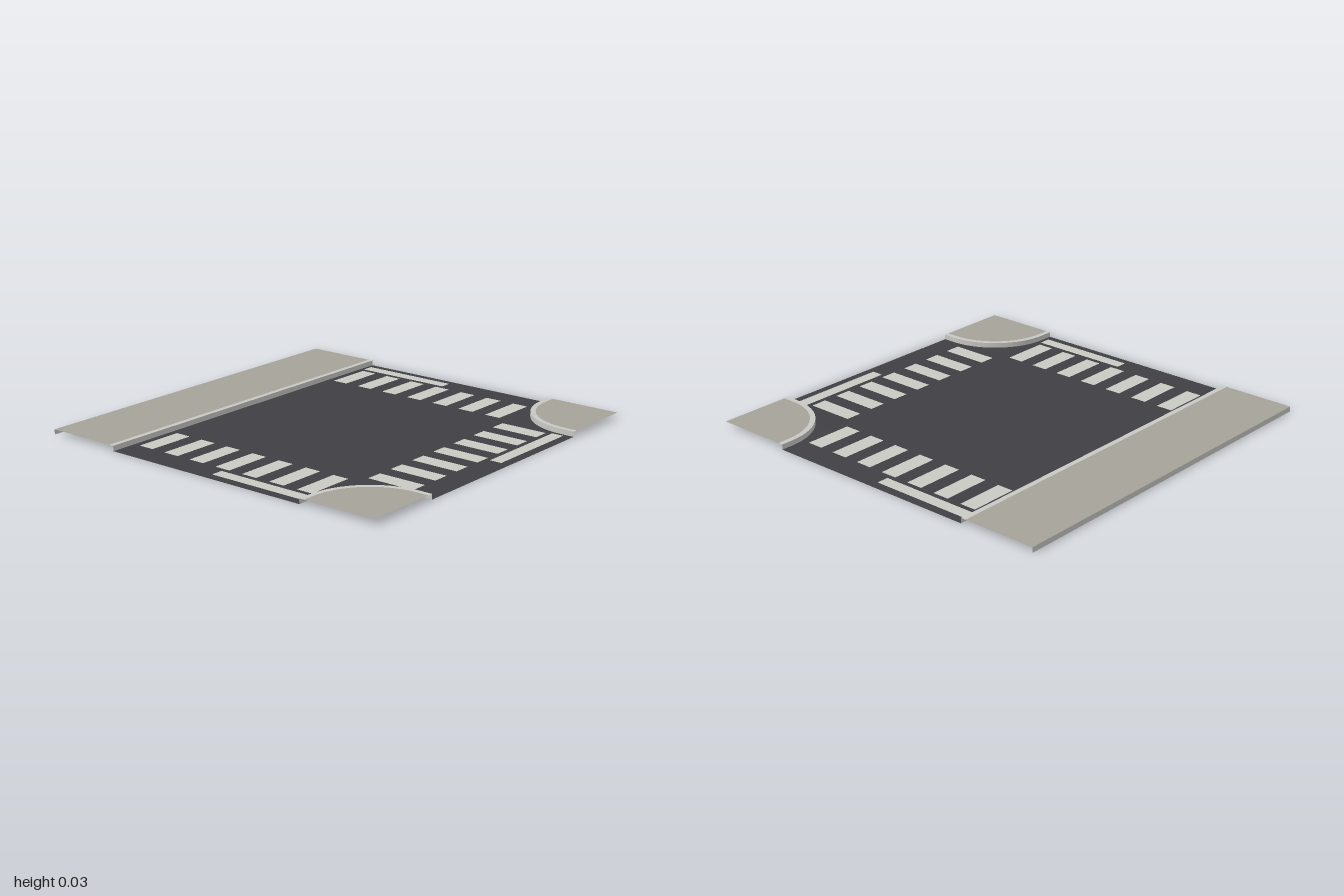
import * as THREE from 'three';

const EDGE = 0.585;    // distance from centre to the kerb face
const KERB_W = 0.027;  // width of the kerb's top
const HEIGHT = 0.027;  // pavement height above the road
const CORNER = 0.935;  // centre of the rounded kerb corners

const mat = (name, color) => {
  const m = new THREE.MeshStandardMaterial({ color, side: THREE.DoubleSide });
  m.name = name;
  return m;
};

export function createModel() {
  const asphalt = mat('asphalt', 0x403f44);
  const paving = mat('paving', 0xa5a299);
  const kerbStone = mat('kerb stone', 0xc8c8c4);
  const paint = mat('road paint', 0xcacac3);

  const model = new THREE.Group();
  model.name = 'tJunction';

  const add = (name, geometry, material, parent = model) => {
    const mesh = new THREE.Mesh(geometry, material);
    mesh.name = name;
    parent.add(mesh);
  };

  // Flat upward-facing area from [x, z] outline points
  const flat = (points, y) => {
    const shape = new THREE.Shape(points.map(([x, z]) => new THREE.Vector2(x, -z)));
    return new THREE.ShapeGeometry(shape).rotateX(-Math.PI / 2).translate(0, y, 0);
  };

  // Upright wall following [x, z] points
  const wall = (points) => {
    const geo = new THREE.PlaneGeometry(1, 1, points.length - 1, 1);
    const pos = geo.attributes.position;
    for (let i = 0; i < pos.count; i++) {
      const [x, z] = points[i % points.length];
      pos.setXYZ(i, x, i < points.length ? HEIGHT : 0, z);
    }
    geo.computeVertexNormals();
    return geo;
  };

  // Rounded kerb line at a front corner, side = -1 or 1
  const cornerLine = (side, inset) => {
    const r = CORNER - EDGE - inset;
    const points = [[side, CORNER - r]];
    for (let i = 0; i <= 16; i++) {
      const a = (i / 16) * Math.PI / 2;
      points.push([side * (CORNER - r * Math.sin(a)), CORNER - r * Math.cos(a)]);
    }
    points.push([side * (CORNER - r), 1]);
    return points;
  };

  // Road surface between the kerbs
  add('road', flat([
    ...cornerLine(-1, 0), ...cornerLine(1, 0).reverse(), [1, -EDGE], [-1, -EDGE],
  ], 0), asphalt);

  // Pavement corners with rounded kerbs
  for (const side of [-1, 1]) {
    const corner = new THREE.Group();
    corner.name = side < 0 ? 'rightCorner' : 'leftCorner';
    model.add(corner);
    const outer = cornerLine(side, 0);
    const inner = cornerLine(side, KERB_W);
    add('pavement', flat([...inner, [side, 1]], HEIGHT), paving, corner);
    add('kerbTop', flat([...outer, ...inner.slice().reverse()], HEIGHT), kerbStone, corner);
    add('kerbFace', wall(side < 0 ? outer.slice().reverse() : outer), kerbStone, corner);
  }

  // Straight pavement along the back
  const strip = (z0, z1) => flat([[-1, z0], [1, z0], [1, z1], [-1, z1]], HEIGHT);
  const back = new THREE.Group();
  back.name = 'backPavement';
  model.add(back);
  add('pavement', strip(-1, -EDGE - KERB_W), paving, back);
  add('kerbTop', strip(-EDGE - KERB_W, -EDGE), kerbStone, back);
  add('kerbFace', wall([[-1, -EDGE], [1, -EDGE]]), kerbStone, back);
  add('backFace', wall([[1, -1], [-1, -1]]), kerbStone, back);

  // Crossing bars and a stop line on each arm, turned about the centre
  [['frontArm', 0], ['leftArm', Math.PI / 2], ['rightArm', -Math.PI / 2]].forEach(([name, angle]) => {
    const arm = new THREE.Group();
    arm.name = name;
    arm.rotation.y = angle;
    model.add(arm);
    const mark = (part, w, d, x, z) =>
      add(part, new THREE.PlaneGeometry(w, d).rotateX(-Math.PI / 2).translate(x, 0.003, z), paint, arm);
    for (let i = -3; i <= 3; i++) mark('crossingBar', 0.088, 0.257, i * 0.1667, 0.737);
    mark('stopLine', 0.54, 0.064, 0.29, 0.924);
  });

  return model;
}
